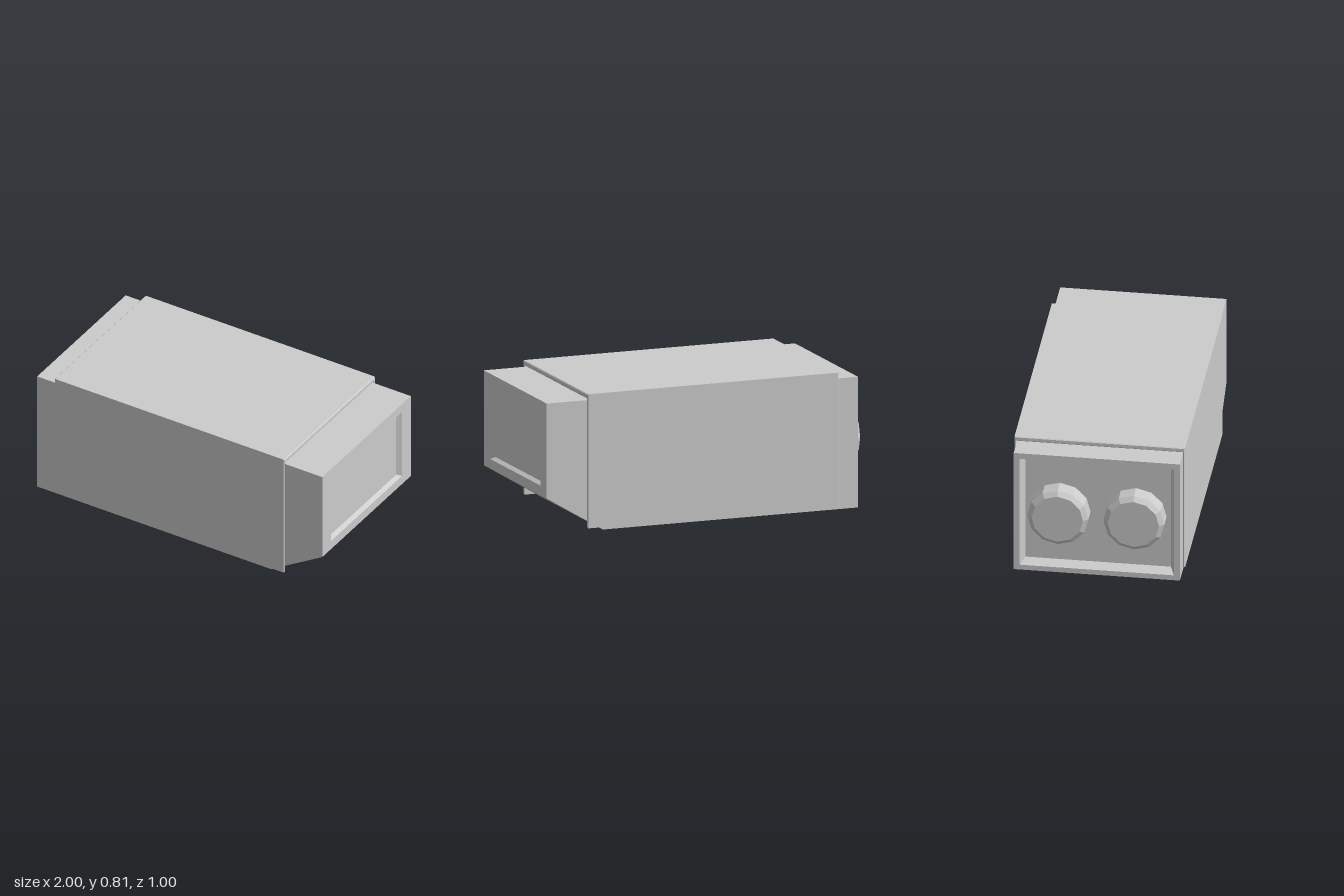
import * as THREE from 'three';

const material = new THREE.MeshStandardMaterial({ color: 0xcccccc, flatShading: true });

function addMesh(parent, geometry, name) {
  const mesh = new THREE.Mesh(geometry, material);
  mesh.name = name;
  parent.add(mesh);
  return mesh;
}

// Skins rectangular rings [x, bottom, top, halfDepth] in order and closes both ends.
function loftRings(rings) {
  const corners = rings.map(([x, y0, y1, z]) => [[x, y0, -z], [x, y0, z], [x, y1, z], [x, y1, -z]]);
  const positions = [];
  const quad = (a, b, c, d) => positions.push(...a, ...b, ...c, ...a, ...c, ...d);
  for (let i = 0; i < corners.length - 1; i++) {
    for (let j = 0; j < 4; j++) {
      const k = (j + 1) % 4;
      quad(corners[i][j], corners[i + 1][j], corners[i + 1][k], corners[i][k]);
    }
  }
  quad(...corners[0]);
  quad(...corners[corners.length - 1].slice().reverse());
  const geometry = new THREE.BufferGeometry();
  geometry.setAttribute('position', new THREE.Float32BufferAttribute(positions, 3));
  geometry.computeVertexNormals();
  return geometry;
}

export function createModel() {
  const group = new THREE.Group();
  group.name = 'housingUnit';

  // Body with a sloped underside and a recessed panel at each end
  addMesh(group, loftRings([
    [-0.885, 0.06, 0.715, 0.425],
    [-0.94, 0.035, 0.74, 0.45],
    [-0.94, 0.003, 0.777, 0.485],
    [0.65, 0.003, 0.777, 0.485],
    [1, 0.215, 0.777, 0.485],
    [1, 0.272, 0.722, 0.39],
    [0.975, 0.286, 0.706, 0.365],
  ]), 'body');

  // Cover folded over the top and both sides, open below
  const bevel = 0.005;
  const outline = new THREE.Shape([
    [-0.498, 0.02], [-0.486, 0.02], [-0.486, 0.785], [0.486, 0.785],
    [0.486, 0.02], [0.498, 0.02], [0.498, 0.814], [-0.498, 0.814],
  ].map(([z, y]) => new THREE.Vector2(z, y)));
  const cover = new THREE.ExtrudeGeometry(outline, {
    depth: 1.565 - 2 * bevel, bevelThickness: bevel, bevelSize: bevel,
    bevelOffset: -bevel, bevelSegments: 1,
  });
  cover.rotateY(Math.PI / 2).translate(-0.815 + bevel, 0, 0);
  addMesh(group, cover, 'cover');

  // Pair of twelve-sided chamfered knobs in the left recess
  const profile = [[0.178, 0], [0.178, 0.092], [0.15, 0.115], [0, 0.115]]
    .map(([r, h]) => new THREE.Vector2(r, h));
  for (const side of [-1, 1]) {
    const knob = new THREE.LatheGeometry(profile, 12).rotateZ(Math.PI / 2);
    addMesh(group, knob, side > 0 ? 'frontKnob' : 'backKnob')
      .position.set(-0.885, 0.39, side * 0.222);
  }
  return group;
}
